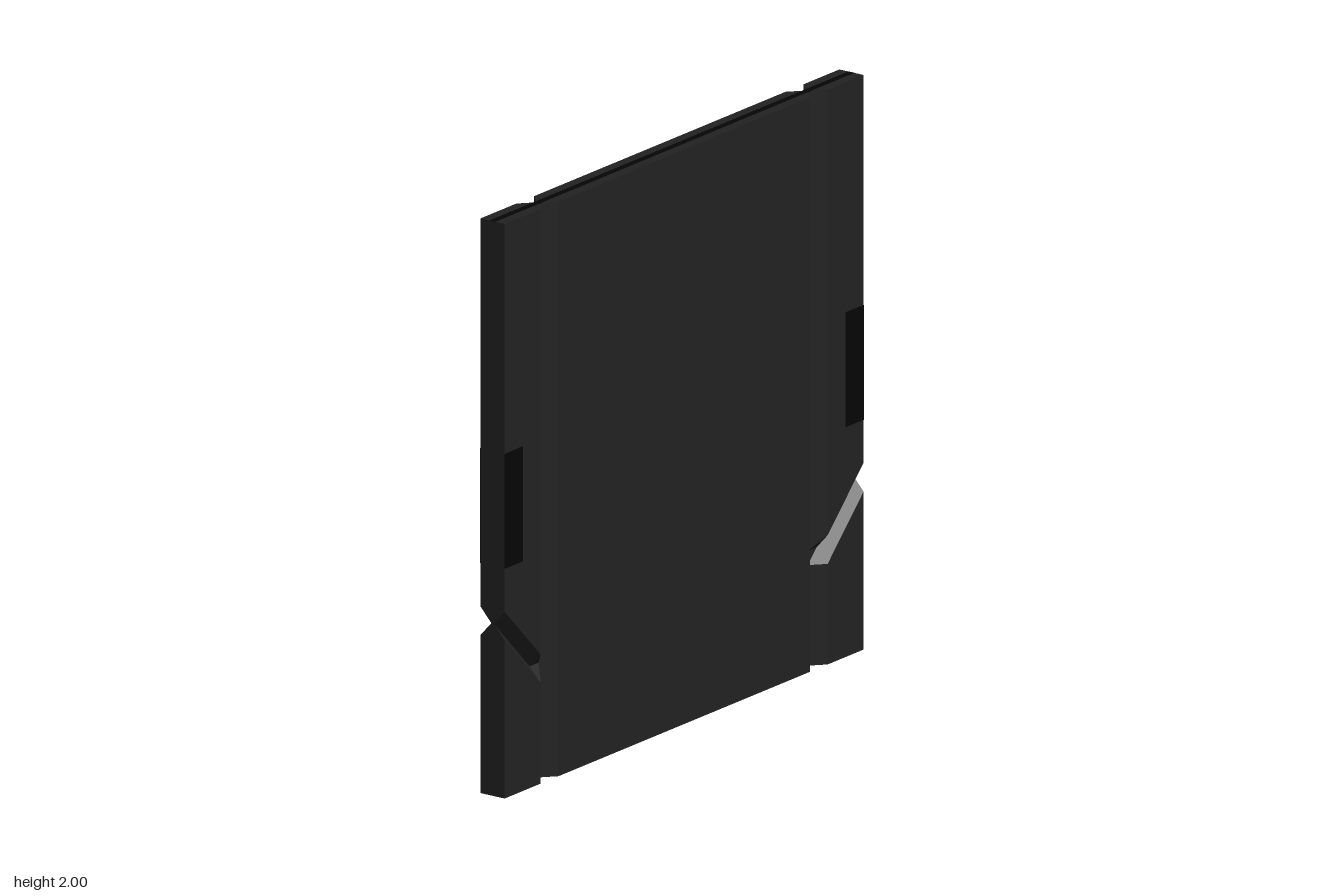
import * as THREE from 'three';

const D = 0.05;   // half thickness
const E = 0.005;  // half thickness at the bottom of the grooves

// Flat-faced geometry from convex polygons, mirrored front to back
function mirroredFaces(polygons, side) {
  const pos = [];
  for (const sz of [1, -1]) {
    for (const poly of polygons) {
      const pts = poly.map(([x, y, z]) => [x * side, y, z * sz]);
      if (side * sz < 0) pts.reverse();
      for (let i = 1; i < pts.length - 1; i++) pos.push(...pts[0], ...pts[i], ...pts[i + 1]);
    }
  }
  const geo = new THREE.BufferGeometry();
  geo.setAttribute('position', new THREE.Float32BufferAttribute(pos, 3));
  geo.computeVertexNormals();
  return geo;
}

// Side strip below the slanted groove
const lowerStrip = [
  [[0.8, 0, D], [1, 0, D], [1, 0.55, D], [0.8, 0.35, D]],                // face
  [[0.75, 0, E], [0.8, 0, D], [0.8, 0.35, D], [0.75, 0.35, E]],          // chamfer
  [[0.8, 0.35, D], [1, 0.55, D], [1, 0.6, E], [0.8, 0.4, E]],            // groove wall
  [[0.75, 0.35, E], [0.8, 0.35, D], [0.8, 0.4, E], [0.75, 0.4, E]],      // groove end
  [[1, 0, D], [1, 0, 0], [1, 0.6, 0], [1, 0.6, E], [1, 0.55, D]],        // outer edge
  [[0.75, 0, E], [0.75, 0, 0], [1, 0, 0], [1, 0, D], [0.8, 0, D]],       // bottom
];

// Side strip above the slanted groove
const upperStrip = [
  [[0.8, 0.45, D], [1, 0.65, D], [1, 2, D], [0.8, 2, D]],
  [[0.75, 0.4, E], [0.8, 0.45, D], [0.8, 2, D], [0.75, 2, E]],
  [[0.75, 0.4, E], [0.8, 0.4, E], [0.8, 0.45, D]],
  [[0.8, 0.4, E], [1, 0.6, E], [1, 0.65, D], [0.8, 0.45, D]],
  [[1, 0.65, D], [1, 0.6, E], [1, 0.6, 0], [1, 2, 0], [1, 2, D]],
  [[0.75, 2, 0], [0.75, 2, E], [0.8, 2, D], [1, 2, D], [1, 2, 0]],
];

export function createModel() {
  const group = new THREE.Group();
  const panelMat = new THREE.MeshStandardMaterial({ color: 0x222222 });
  const blackMat = new THREE.MeshStandardMaterial({ color: 0x050505 });
  const add = (name, geo, mat, x = 0, y = 0, z = 0) => {
    const mesh = new THREE.Mesh(geo, mat);
    mesh.name = name;
    mesh.position.set(x, y, z);
    group.add(mesh);
  };

  // Central panel: bevelled cross-section extruded upwards
  const section = new THREE.Shape([
    [-0.75, -E], [-0.7, -D], [0.7, -D], [0.75, -E],
    [0.75, E], [0.7, D], [-0.7, D], [-0.75, E],
  ].map(([x, y]) => new THREE.Vector2(x, y)));
  const panel = new THREE.ExtrudeGeometry(section, { depth: 2, bevelEnabled: false });
  panel.rotateX(-Math.PI / 2);
  add('centralPanel', panel, panelMat);

  for (const side of [1, -1]) {
    const label = side > 0 ? 'left' : 'right';
    add(label + 'LowerStrip', mirroredFaces(lowerStrip, side), panelMat);
    add(label + 'UpperStrip', mirroredFaces(upperStrip, side), panelMat);
    // Flush black plates on both faces
    for (const face of [1, -1]) {
      add(label + (face > 0 ? 'Front' : 'Back') + 'HandlePlate',
        new THREE.BoxGeometry(0.1, 0.4, 0.002), blackMat, side * 0.9499, 1, face * D);
    }
  }

  // Dark seam along the top edge
  add('topSeam', new THREE.BoxGeometry(2, 0.002, 0.024), blackMat, 0, 1.9995, 0);
  return group;
}
